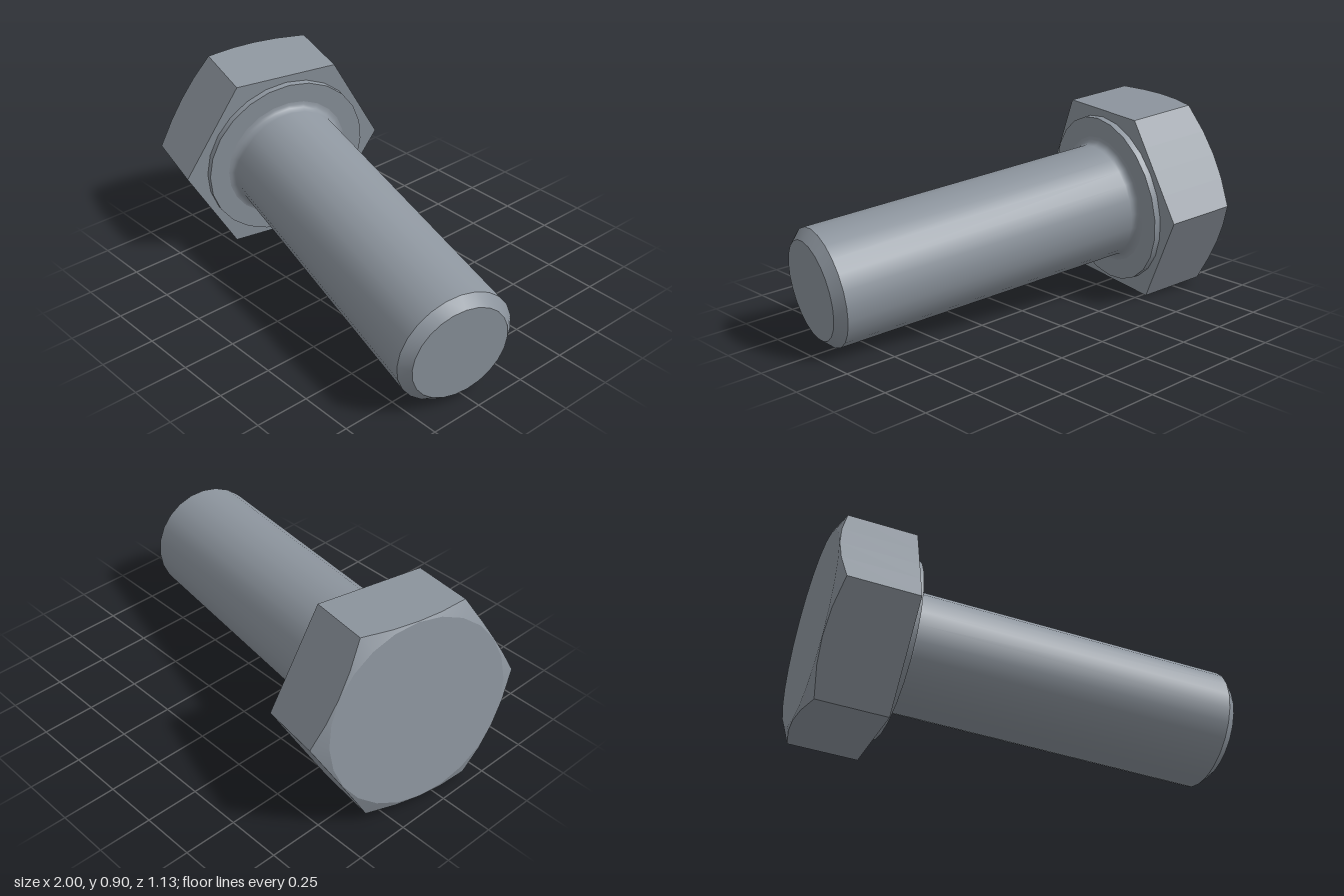
import * as THREE from 'three';
import { toCreasedNormals } from 'three/addons/utils/BufferGeometryUtils.js';

const SIDES = 24;
const FLAT = 0.434; // half the width across the flats
const HEAD = 0.344; // head height
const LENGTH = 1.553; // bearing face to tip

// Hexagonal head: rings from the back centre, over the conical chamfer, to the bearing face
function headGeometry() {
  const hexRadius = (a) => {
    const sector = Math.PI / 3;
    const fromMid = (((a % sector) + sector) % sector) - sector / 2;
    return FLAT / Math.cos(fromMid);
  };
  const rimRadius = FLAT - 0.003;
  const rings = [
    () => [0, -HEAD],
    () => [rimRadius, -HEAD],
    (a) => [hexRadius(a), -HEAD + (hexRadius(a) - rimRadius) * 0.47],
    (a) => [hexRadius(a), 0],
    () => [0, 0],
  ];
  const at = (ring, i) => {
    const a = (i / SIDES) * Math.PI * 2;
    const [r, y] = rings[ring](a);
    return [r * Math.cos(a), y, r * Math.sin(a)];
  };
  const pos = [];
  for (let k = 0; k < rings.length - 1; k++) {
    for (let i = 0; i < SIDES; i++) {
      const p0 = at(k, i), p1 = at(k, i + 1), q0 = at(k + 1, i), q1 = at(k + 1, i + 1);
      if (k > 0) pos.push(...p1, ...p0, ...q0);
      if (k < rings.length - 2) pos.push(...p1, ...q0, ...q1);
    }
  }
  const g = new THREE.BufferGeometry();
  g.setAttribute('position', new THREE.Float32BufferAttribute(pos, 3));
  return toCreasedNormals(g, 0.2);
}

const lathe = (points) =>
  toCreasedNormals(new THREE.LatheGeometry(points.map(([r, y]) => new THREE.Vector2(r, y)), SIDES), 0.5);

export function createModel() {
  const steel = new THREE.MeshStandardMaterial({ color: 0x8e969f });
  steel.name = 'steel';

  const bolt = new THREE.Group();
  bolt.name = 'bolt';
  const add = (name, geometry) => {
    const mesh = new THREE.Mesh(geometry, steel);
    mesh.name = name;
    bolt.add(mesh);
  };

  add('hexHead', headGeometry());

  // Raised round bearing collar under the head
  add('washerFace', lathe([[0.4, 0], [0.4, 0.03], [0.26, 0.03]]));

  // Shank with a fillet at the head and a chamfered tip
  const radius = 0.27, fillet = 0.035, chamfer = 0.044;
  const profile = [];
  for (let i = 0; i <= 4; i++) {
    const a = (i / 4) * Math.PI / 2;
    profile.push([radius + fillet * (1 - Math.sin(a)), 0.03 + fillet * (1 - Math.cos(a))]);
  }
  profile.push([radius, LENGTH - chamfer], [radius - chamfer, LENGTH], [0, LENGTH]);
  add('shank', lathe(profile));

  // Lay the bolt along its slanted axis, one flat of the head facing up
  const axis = new THREE.Vector3(0.972, -0.108, 0.209).normalize();
  const up = new THREE.Vector3(0, 1, 0).addScaledVector(axis, -axis.y).normalize();
  const side = new THREE.Vector3().crossVectors(axis, up);
  bolt.quaternion.setFromRotationMatrix(new THREE.Matrix4().makeBasis(side, axis, up));
  bolt.position.set(-0.565, 0.434, -0.012);

  const model = new THREE.Group();
  model.name = 'hexBolt';
  model.add(bolt);
  return model;
}
